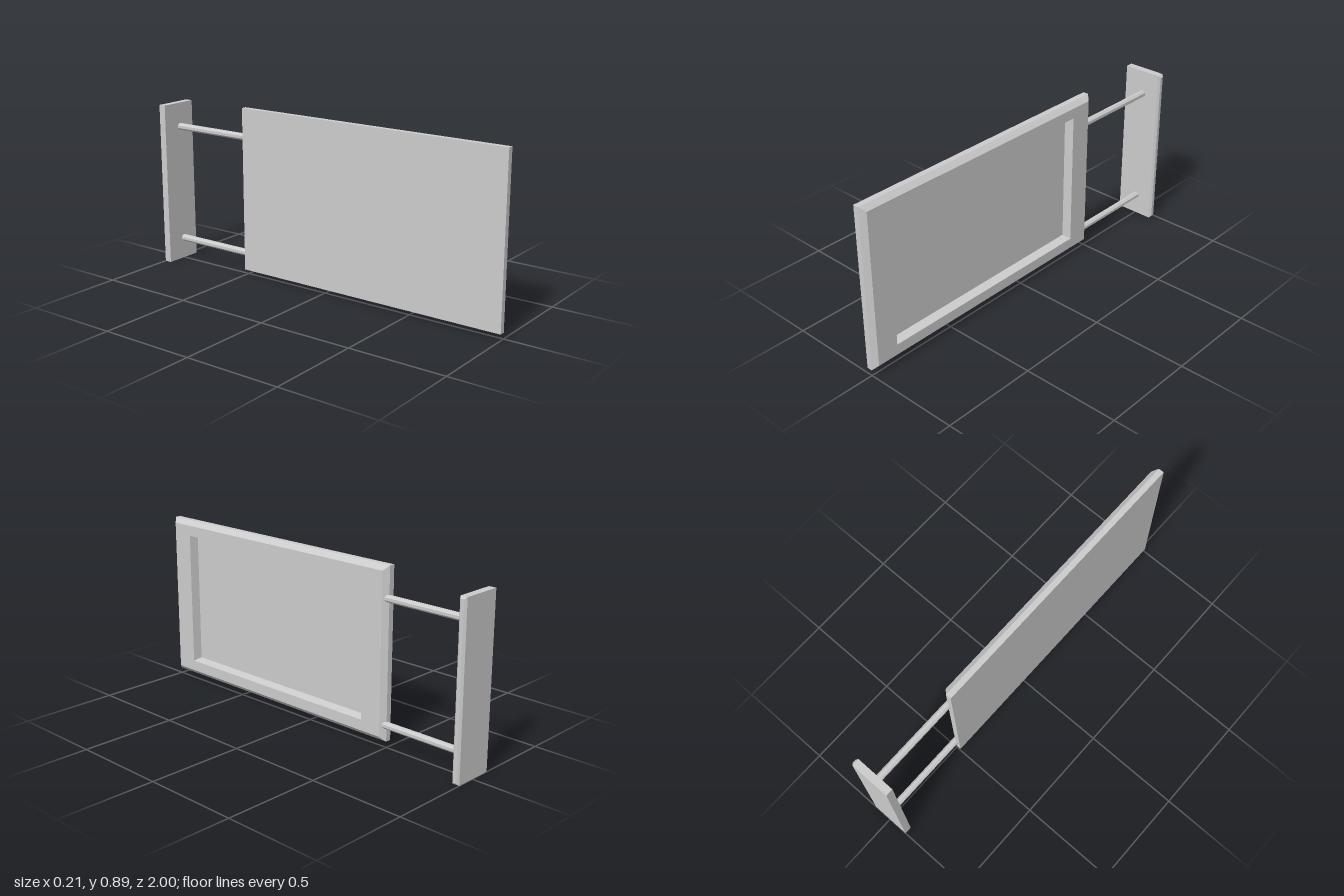
import * as THREE from 'three';

const material = new THREE.MeshStandardMaterial({ color: 0xcccccc, flatShading: true });

// Joins rectangular rings [x, y0, y1, z0, z1] into a closed, flat-faced solid
function loftRectangles(rings) {
  const loops = rings.map(([x, y0, y1, z0, z1]) => [
    [x, y0, z1], [x, y0, z0], [x, y1, z0], [x, y1, z1],
  ]);
  const positions = [];
  const quad = (a, b, c, d) => positions.push(...a, ...b, ...c, ...a, ...c, ...d);
  for (let r = 0; r < loops.length - 1; r++) {
    const a = loops[r], b = loops[r + 1];
    for (let i = 0; i < 4; i++) {
      const j = (i + 1) % 4;
      quad(a[i], a[j], b[j], b[i]);
    }
  }
  const first = loops[0], last = loops[loops.length - 1];
  quad(first[3], first[2], first[1], first[0]);
  quad(...last);
  const geometry = new THREE.BufferGeometry();
  geometry.setAttribute('position', new THREE.Float32BufferAttribute(positions, 3));
  geometry.computeVertexNormals();
  return geometry;
}

function addPart(group, name, geometry) {
  const mesh = new THREE.Mesh(geometry, material);
  mesh.name = name;
  group.add(mesh);
  return mesh;
}

export function createModel() {
  const group = new THREE.Group();
  group.name = 'hangingSign';

  // Sign board: flat back, bevelled rim and a recessed panel on the +x side
  addPart(group, 'signBoard', loftRectangles([
    [-0.028, 0.03, 0.888, -0.5, 1],
    [0.001, 0.03, 0.888, -0.5, 1],
    [0.026, 0.055, 0.864, -0.476, 0.976],
    [0.026, 0.11, 0.81, -0.361, 0.861],
    [-0.02, 0.12, 0.8, -0.351, 0.851],
  ]));

  // Wall plate with a small bevel around its +x edge
  addPart(group, 'wallPlate', loftRectangles([
    [-0.108, 0, 0.86, -1, -0.962],
    [0.096, 0, 0.86, -1, -0.962],
    [0.106, 0.01, 0.85, -0.99, -0.972],
  ]));

  // Two rods from the plate to the board
  const zBoard = -0.48, zPlate = -0.97;
  [['lowerRod', 0.114], ['upperRod', 0.733]].forEach(([name, y]) => {
    const geometry = new THREE.CylinderGeometry(0.018, 0.018, zBoard - zPlate, 8);
    geometry.rotateY(Math.PI / 8).rotateX(Math.PI / 2);
    addPart(group, name, geometry).position.set(0.002, y, (zBoard + zPlate) / 2);
  });

  return group;
}
